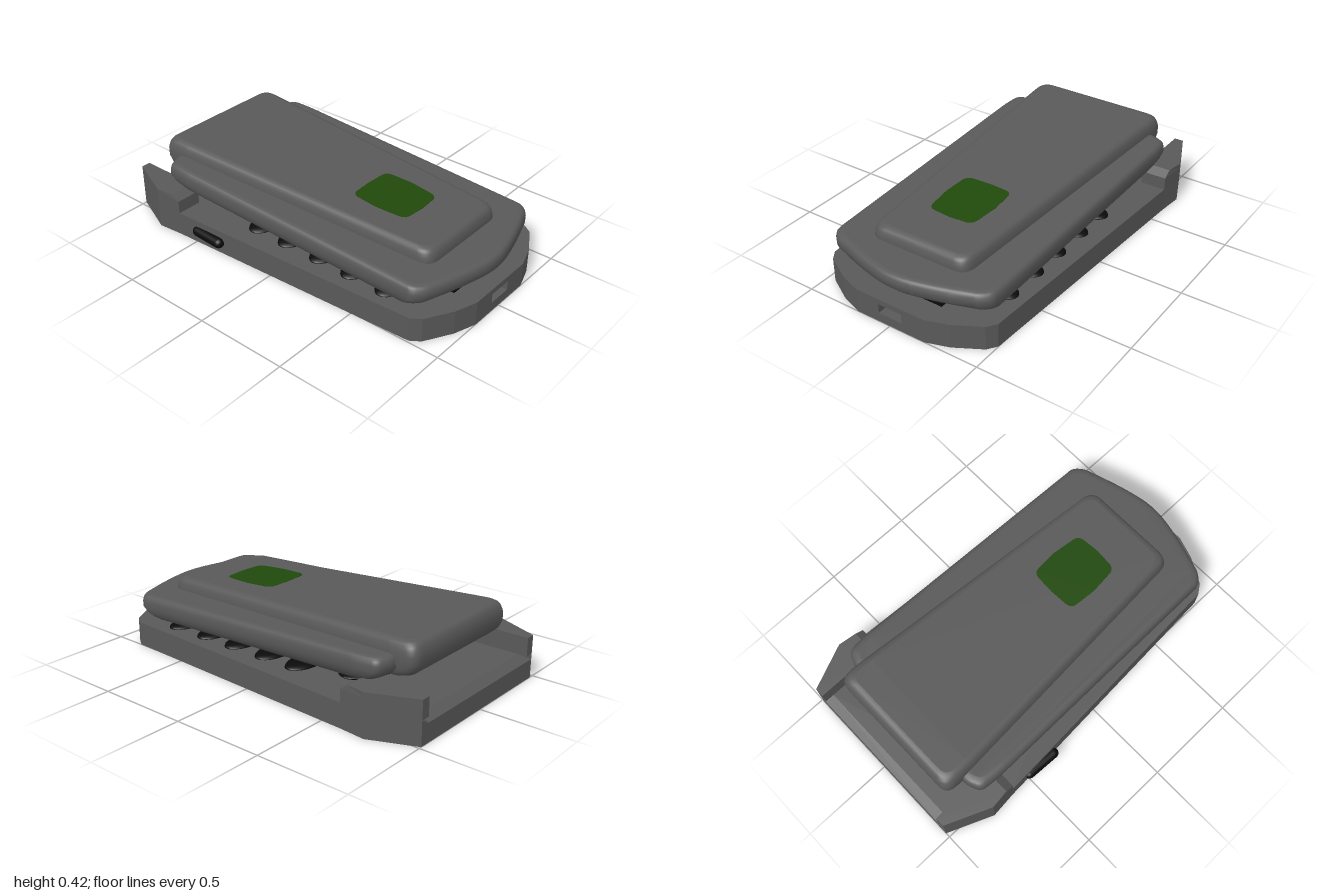
import * as THREE from 'three';

const mat = (name, color) => {
  const m = new THREE.MeshStandardMaterial({ color });
  m.name = name;
  return m;
};

// Mirror a right-hand half outline of [x, z, cornerRadius] across x = 0.
const mirror = (half) => [
  ...half,
  ...half.filter((p) => p[0] > 0).reverse().map(([x, z, r]) => [-x, z, r]),
];

// Counter-clockwise Vector2 outline in (x, -z), with rounded corners.
function outline(points) {
  const v = points.map(([x, z]) => new THREE.Vector2(x, -z));
  const out = [];
  v.forEach((p, i) => {
    const r = points[i][2] || 0;
    if (!r) return out.push(p);
    const toward = (q) => p.clone().add(q.clone().sub(p).setLength(r));
    const a = toward(v[(i + v.length - 1) % v.length]);
    const b = toward(v[(i + 1) % v.length]);
    out.push(...new THREE.QuadraticBezierCurve(a, p, b).getPoints(8));
  });
  return THREE.ShapeUtils.isClockWise(out) ? out.reverse() : out;
}

// Flat-sided slab from height y0 to y1.
function slab(points, y0, y1) {
  const g = new THREE.ExtrudeGeometry(new THREE.Shape(outline(points)), { depth: y1 - y0, bevelEnabled: false });
  return g.rotateX(-Math.PI / 2).translate(0, y0, 0);
}

// Soft slab: layers of [side inset, height, end inset] shrink the outline about its centre.
function softSlab(points, layers) {
  const ring = outline(points);
  const n = ring.length;
  const box = new THREE.Box2().setFromPoints(ring);
  const mid = box.getCenter(new THREE.Vector2());
  const half = box.getSize(new THREE.Vector2()).multiplyScalar(0.5);
  const pos = [], idx = [];
  const addRing = ([inset, h, ends = inset]) => ring.forEach((p) => pos.push(
    mid.x + (p.x - mid.x) * (1 - inset / half.x),
    mid.y + (p.y - mid.y) * (1 - ends / half.y),
    h,
  ));
  layers.forEach(addRing);
  for (let l = 0; l < layers.length - 1; l++) {
    for (let i = 0; i < n; i++) {
      const a = l * n + i, b = l * n + ((i + 1) % n);
      idx.push(a, b, b + n, a, b + n, a + n);
    }
  }
  // Separate cap vertices keep the flat faces flat.
  const faces = THREE.ShapeUtils.triangulateShape(ring, []);
  const bottom = layers.length * n, top = bottom + n;
  addRing(layers[0]);
  addRing(layers[layers.length - 1]);
  for (const [a, b, c] of faces) {
    idx.push(top + a, top + b, top + c, bottom + a, bottom + c, bottom + b);
  }
  const g = new THREE.BufferGeometry();
  g.setAttribute('position', new THREE.Float32BufferAttribute(pos, 3));
  g.setIndex(idx);
  g.rotateX(-Math.PI / 2);
  g.computeVertexNormals();
  return g;
}

// Move the vertices of a geometry by a rule.
function reshape(g, rule) {
  const p = g.attributes.position, v = new THREE.Vector3();
  for (let i = 0; i < p.count; i++) {
    rule(v.fromBufferAttribute(p, i));
    p.setXYZ(i, v.x, v.y, v.z);
  }
  g.computeVertexNormals();
  return g;
}

export function createModel() {
  const model = new THREE.Group();
  model.name = 'flipPhone';
  model.position.x = 0.005; // balances the side button
  const grey = mat('casingGrey', 0x595959);
  const black = mat('keyBlack', 0x0a0a0a);
  const green = mat('displayGreen', 0x20490b);
  const add = (parent, name, geometry, material) => {
    const mesh = new THREE.Mesh(geometry, material);
    mesh.name = name;
    parent.add(mesh);
    return mesh;
  };

  // Lower body, in three layers so the middle one can hold the port notch
  const base = new THREE.Group();
  base.name = 'base';
  model.add(base);
  const side = [[0.2, 1], [0.32, 0.96], [0.46, 0.88], [0.495, 0.83], [0.57, -0.62], [0.583, -0.76], [0.48, -1], [0.43, -1]];
  const port = [[0.068, 0.94], [0.068, 1]];
  add(base, 'baseBottom', slab(mirror(side), 0, 0.05), grey);
  add(base, 'baseMiddle', slab(mirror([...port, ...side]), 0.05, 0.1), grey);
  const deck = reshape(slab(mirror(side), 0.1, 0.13), (v) => {
    // bevel along the rear edge between the hinge ears
    if (v.y > 0.12 && v.z < -0.99 && Math.abs(v.x) < 0.44) v.z = -0.95;
  });
  add(base, 'baseDeck', deck, grey);

  // Raised hinge ears with sloped front tops
  for (const s of [1, -1]) {
    const ear = [[0.43, -1], [0.48, -1], [0.583, -0.76], [0.57, -0.615], [0.43, -0.615]].map(([x, z]) => [x * s, z]);
    add(base, 'hingeEarFoot', slab(ear, 0.13, 0.2), grey);
    add(base, 'hingeEarTop', reshape(slab(ear, 0.2, 0.23), (v) => {
      if (v.y > 0.22 && v.z > -0.63) v.z = -0.66;
    }), grey);
  }

  // Keypad: five rows of three domed keys
  const keypad = new THREE.Group();
  keypad.name = 'keypad';
  model.add(keypad);
  const dome = new THREE.SphereGeometry(1, 24, 8, 0, Math.PI * 2, 0, Math.PI / 2);
  for (const z of [0.62, 0.41, 0.21, 0, -0.2]) {
    for (const x of [-0.32, 0, 0.32]) {
      const key = add(keypad, 'key', dome, black);
      key.scale.set(0.135, 0.026, 0.075);
      key.position.set(x, 0.13, z);
    }
  }

  // Oval navigation ring, crowned along its middle, and its centre key
  const torus = new THREE.TorusGeometry(1, 0.18, 12, 48).rotateX(Math.PI / 2).scale(0.32, 0.07, 0.119);
  const ring = add(keypad, 'navigationRing', reshape(torus, (v) => {
    v.y += 0.014 * (1 - (v.z / 0.14) ** 2);
  }), black);
  ring.position.set(0, 0.131, -0.48);
  const centre = add(keypad, 'navigationKey', dome, black);
  centre.scale.set(0.12, 0.02, 0.05);
  centre.position.set(0, 0.13, -0.48);

  // Microphone strip and side button
  const strip = add(model, 'microphoneStrip', new THREE.BoxGeometry(0.42, 0.014, 0.035), black);
  strip.position.set(0, 0.137, 0.86);
  const button = add(model, 'sideButton', new THREE.CapsuleGeometry(0.028, 0.16, 6, 16).rotateX(Math.PI / 2), black);
  button.position.set(-0.564, 0.067, -0.41);
  button.rotation.y = -0.05;

  // Lid, slightly open
  const lid = new THREE.Group();
  lid.name = 'lid';
  lid.rotation.x = 0.044;
  lid.position.set(-0.004, 0, -0.012);
  model.add(lid);

  const lidShell = mirror([
    [0, 0.985, 0.1], [0.2, 0.945, 0.1], [0.43, 0.87, 0.03], [0.474, 0.825, 0.025],
    [0.5, -0.66, 0.05], [0.49, -0.755, 0.03], [0.42, -0.785, 0.03],
  ]);
  add(lid, 'lidShell', softSlab(lidShell, [
    [0.05, 0.183, 0.13], [0.035, 0.188, 0.1], [0.022, 0.2, 0.06], [0.008, 0.222, 0.025], [0, 0.25],
    [0, 0.28], [0.004, 0.298], [0.012, 0.309], [0.022, 0.314], [0.036, 0.316],
  ]), grey);

  const lidPanel = mirror([[0.285, 0.785, 0.07], [0.392, -0.78, 0.03], [0.395, -0.895, 0.065]]);
  add(lid, 'lidPanel', softSlab(lidPanel, [
    [0.06, 0.193, 0.13], [0.035, 0.2, 0.09], [0.018, 0.215, 0.05], [0.006, 0.24, 0.02], [0, 0.275, 0.003],
    [0, 0.315], [0.004, 0.338], [0.01, 0.356], [0.018, 0.369], [0.03, 0.378], [0.048, 0.382],
  ]), grey);

  // Small outer display, almost flush with the panel
  const display = mirror([[0, 0.53], [0.13, 0.52, 0.04], [0.147, 0.355], [0.137, 0.2, 0.04], [0, 0.193]]);
  add(lid, 'outerDisplay', softSlab(display, [[0, 0.379], [0, 0.3835]]), green);

  return model;
}
